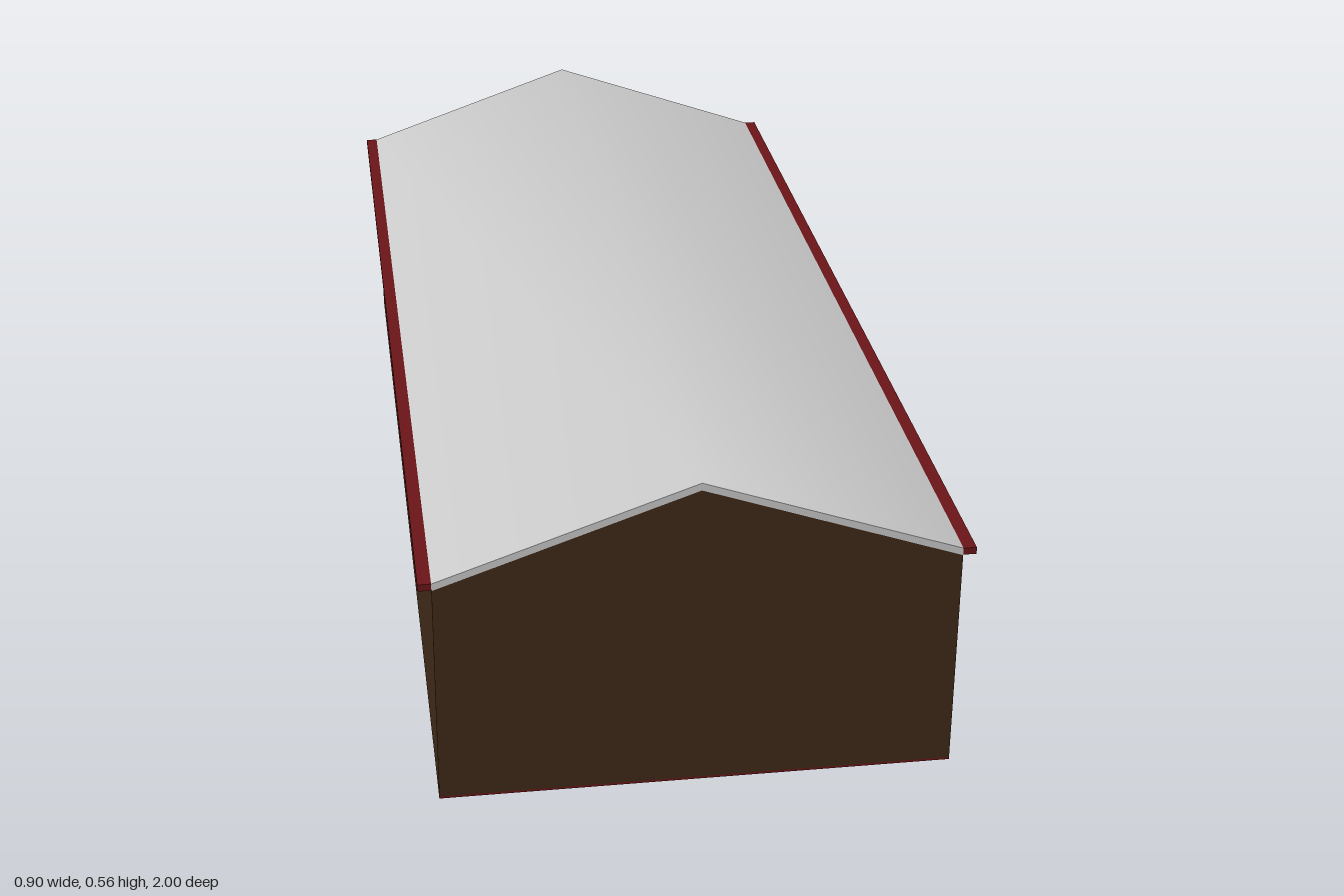
import * as THREE from 'three';
import { toCreasedNormals } from 'three/addons/utils/BufferGeometryUtils.js';

const W = 0.43, L = 1, EAVE = 0.397, RIDGE = 0.547, BASE = 0.004;
const mat = (color) => new THREE.MeshStandardMaterial({ color });

export function createModel() {
  const group = new THREE.Group();
  const brown = mat(0x3f2a18), red = mat(0x6b1517), grey = mat(0xcccccc);

  const add = (name, geo, material, x = 0, y = 0, z = 0) => {
    const mesh = new THREE.Mesh(geo, material);
    mesh.name = name;
    mesh.position.set(x, y, z);
    group.add(mesh);
    return mesh;
  };
  const box = (w, h, d) => new THREE.BoxGeometry(w, h, d);
  const extrude = (pts, depth) => new THREE.ExtrudeGeometry(
    new THREE.Shape(pts.map(([x, y]) => new THREE.Vector2(x, y))),
    { depth, bevelEnabled: false });

  // Gable walls; the back one has a doorway cut up from the ground
  const gable = [[W, BASE], [W, EAVE], [0, RIDGE], [-W, EAVE], [-W, BASE]];
  const doorway = [[-0.115, BASE], [-0.115, 0.216], [0.055, 0.216], [0.055, BASE]];
  add('frontWall', extrude(gable, 0.004), brown, 0, 0, L - 0.004);
  add('backWall', extrude([...gable, ...doorway], 0.01), brown, 0, 0, -L);

  // Long side walls and eave gutters
  for (const s of [1, -1]) {
    add('sideWall', box(0.004, EAVE - BASE, 2 * L), brown, s * (W - 0.002), (EAVE + BASE) / 2, 0);
    add('gutter', box(0.022, 0.012, 2 * L), red, s * (W + 0.011), 0.404, 0);
  }

  // U-shaped footprint, open at the back, for the base strip and the lining
  const footprint = (w, front) => [
    [-w, 0.99], [-w, -front], [w, -front], [w, 0.99],
    [0.385, 0.99], [0.385, -0.89], [-0.385, -0.89], [-0.385, 0.99]];
  const slab = (pts, h) => extrude(pts, h).rotateX(-Math.PI / 2);
  add('baseStrip', slab(footprint(W, L), BASE), red);
  add('innerWalls', slab(footprint(W - 0.004, L - 0.004), 0.37 - BASE), red, 0, BASE, 0);
  add('ceiling', box(2 * W - 0.01, 0.02, 2 * L - 0.022), red, 0, 0.38, 0);

  // Thin base strips either side of the doorway
  for (const [a, b] of [[-W, -0.115], [0.055, W]]) {
    add('backBaseStrip', box(b - a, BASE, 0.01), red, (a + b) / 2, BASE / 2, -L + 0.005);
  }

  // Roof sheet, smoothed over the ridge
  const t = 0.013;
  const roof = extrude([[W, EAVE], [W, EAVE + t], [0, RIDGE + t],
    [-W, EAVE + t], [-W, EAVE], [0, RIDGE]], 2 * L);
  add('roof', toCreasedNormals(roof, 0.8), grey, 0, 0, -L);

  // Door standing ajar, hinged on its left edge and swung inwards
  const door = add('door', box(0.172, 0.214, 0.008).translate(-0.086, 0.108, 0.004), red, 0.055, 0, -L + 0.002);
  door.rotation.y = 0.47;

  return group;
}
